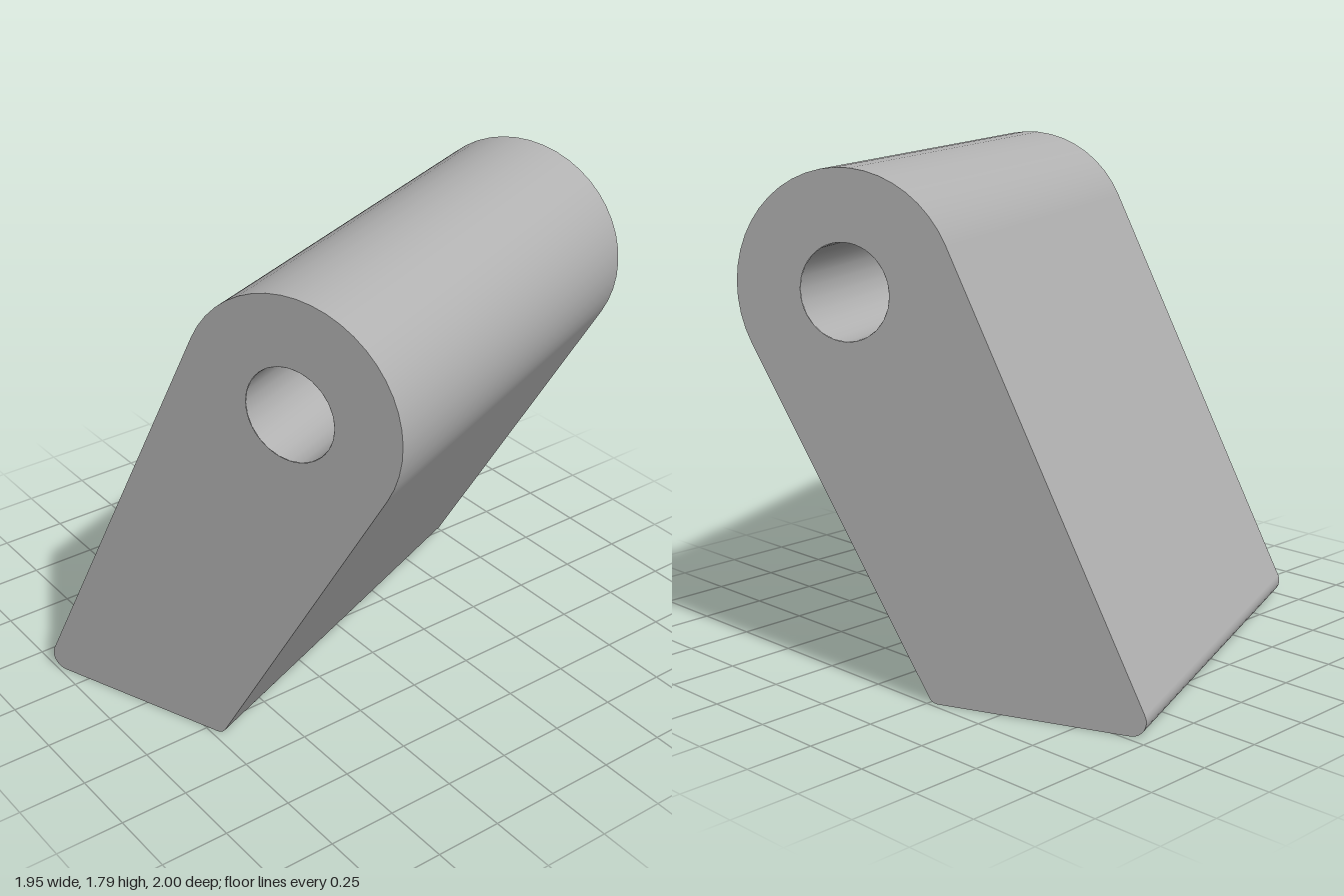
import * as THREE from 'three';

const HALF = 0.784;                                  // half the block's width
const EYE = { x: 0.326, y: 1.383, r: 0.408, bore: 0.165 };
const LEFT = { x: -0.685, y: 0.055, r: 0.055 };      // rounded bottom edges
const RIGHT = { x: 0.001, y: 0.04, r: 0.04 };
const SOCKET = { x: -0.342, r: 0.21, depth: 0.22 };
const rad = THREE.MathUtils.degToRad;

// Outline of three tangent arcs, counter-clockwise, each point with its normal
function outline() {
  const points = [];
  const arc = (c, from, to, steps) => {
    for (let i = 0; i <= steps; i++) {
      const a = rad(from + (to - from) * i / steps);
      const nx = Math.cos(a), ny = Math.sin(a);
      points.push({ x: c.x + c.r * nx, y: c.y + c.r * ny, nx, ny });
    }
  };
  arc(RIGHT, -90, -29, 6);
  arc(EYE, -29, 155, 24);
  arc(LEFT, 155, 270, 8);
  return points;
}

// Smooth wall swept along the outline, open underneath
function wallGeometry(points) {
  const pos = [], nor = [], index = [];
  points.forEach((p, i) => {
    for (const z of [HALF, -HALF]) {
      pos.push(p.x, p.y, z);
      nor.push(p.nx, p.ny, 0);
    }
    if (i < points.length - 1) {
      const a = 2 * i;
      index.push(a, a + 1, a + 3, a, a + 3, a + 2);
    }
  });
  const g = new THREE.BufferGeometry();
  g.setAttribute('position', new THREE.Float32BufferAttribute(pos, 3));
  g.setAttribute('normal', new THREE.Float32BufferAttribute(nor, 3));
  g.setIndex(index);
  return g;
}

// Flat face with a round hole
function holedFace(points, x, y, r) {
  const shape = new THREE.Shape(points.map(p => new THREE.Vector2(p.x, p.y)));
  shape.holes.push(new THREE.Path().absarc(x, y, r, 0, Math.PI * 2, true));
  return new THREE.ShapeGeometry(shape, 24);
}

export function createModel() {
  const model = new THREE.Group();
  const block = new THREE.Group();
  block.name = 'hingeBlock';
  model.add(block);

  // Double-sided so the open bores show their inner walls
  const grey = new THREE.MeshStandardMaterial({ color: 0xb2b2b2, side: THREE.DoubleSide });
  grey.name = 'plain grey';

  const add = (name, geometry) => {
    const mesh = new THREE.Mesh(geometry, grey);
    mesh.name = name;
    block.add(mesh);
  };

  const points = outline();
  add('outerWall', wallGeometry(points));

  // End faces pierced by the pin bore
  const face = () => holedFace(points, EYE.x, EYE.y, EYE.bore);
  add('frontFace', face().translate(0, 0, HALF));
  add('backFace', face().scale(-1, 1, 1).rotateY(Math.PI).translate(0, 0, -HALF));
  add('pinBore', new THREE.CylinderGeometry(EYE.bore, EYE.bore, 2 * HALF, 24, 1, true)
    .rotateX(Math.PI / 2).translate(EYE.x, EYE.y, 0));

  // Underside with a shallow blind socket
  const base = [[LEFT.x, -HALF], [RIGHT.x, -HALF], [RIGHT.x, HALF], [LEFT.x, HALF]]
    .map(([x, y]) => ({ x, y }));
  add('underside', holedFace(base, SOCKET.x, 0, SOCKET.r).rotateX(Math.PI / 2));
  add('socketWall', new THREE.CylinderGeometry(SOCKET.r, SOCKET.r, SOCKET.depth, 24, 1, true)
    .translate(SOCKET.x, SOCKET.depth / 2, 0));
  add('socketCeiling', new THREE.CircleGeometry(SOCKET.r, 24)
    .rotateX(Math.PI / 2).translate(SOCKET.x, SOCKET.depth, 0));

  // The block stands turned on its base
  block.rotation.y = rad(21.46);
  return model;
}
